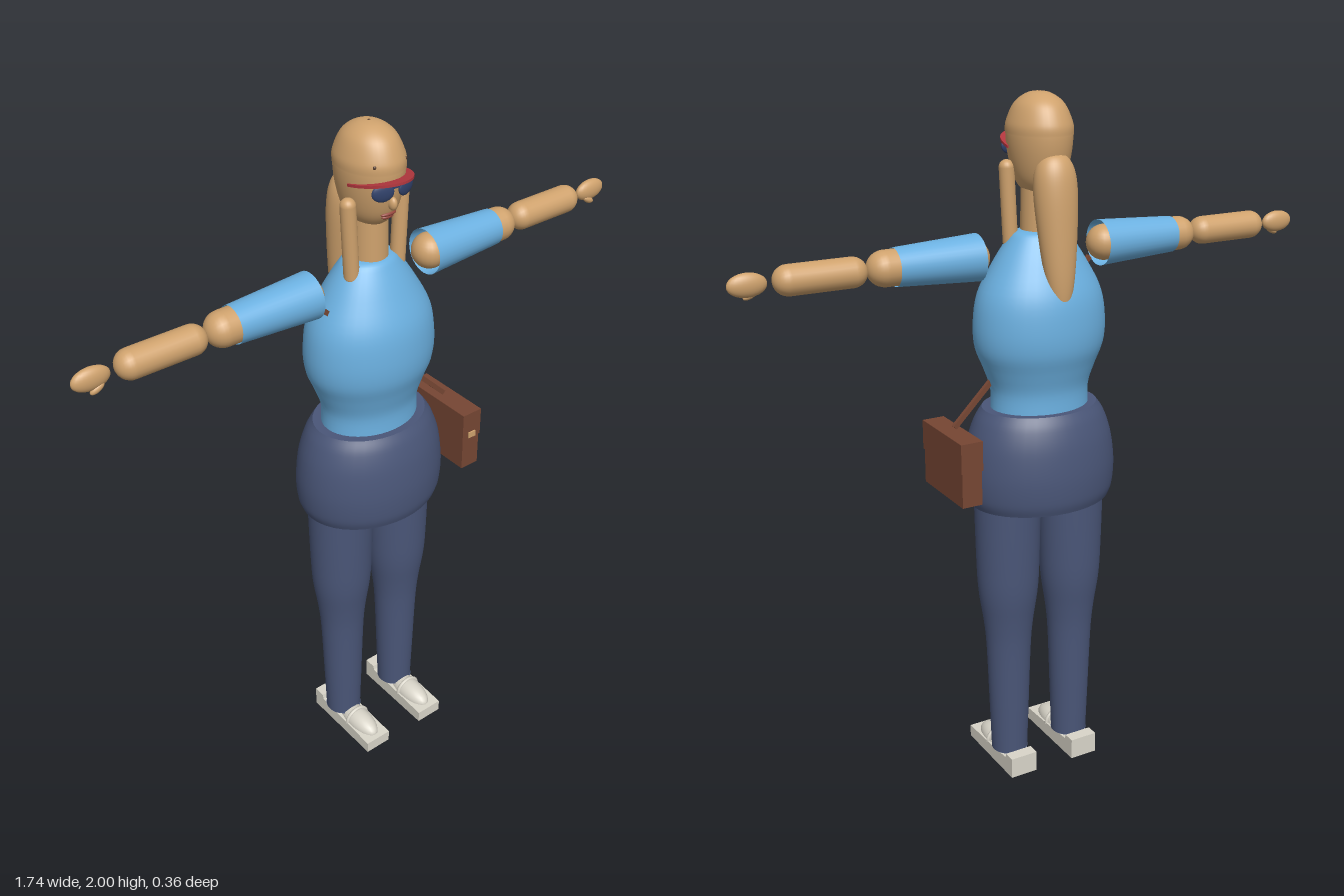
import * as THREE from 'three';

const mat = (name, color, side = THREE.FrontSide) => {
  const m = new THREE.MeshStandardMaterial({ color, side });
  m.name = name;
  return m;
};

export function createModel() {
  const skin = mat('skin', 0xcfa26d);
  const shirt = mat('shirtBlue', 0x6bb0e0, THREE.DoubleSide);
  const denim = mat('denim', 0x4a5678, THREE.DoubleSide);
  const leather = mat('leather', 0x764633);
  const white = mat('shoeWhite', 0xd9d5c9);
  const red = mat('brimRed', 0xb5383f);
  const lens = mat('lensBlue', 0x31426b);
  const lip = mat('lipRed', 0x95463c);
  const dark = mat('darkBrown', 0x5a4030);

  const model = new THREE.Group();
  const add = (name, geometry, material, x = 0, y = 0, z = 0, parent = model) => {
    const m = new THREE.Mesh(geometry, material);
    m.name = name;
    m.position.set(x, y, z);
    parent.add(m);
    return m;
  };
  // Smooth turned form through [radius, height] points
  const turned = (points, zScale = 1, steps = 28) => {
    const curve = new THREE.SplineCurve(points.map(([r, y]) => new THREE.Vector2(r, y)));
    const pts = curve.getPoints(steps);
    pts.forEach(p => { p.x = Math.max(0, p.x); });
    return new THREE.LatheGeometry(pts, 40).scale(1, 1, zScale);
  };
  const ball = (rx, ry, rz) => new THREE.SphereGeometry(1, 24, 16).scale(rx, ry, rz);
  const box = (w, h, d) => new THREE.BoxGeometry(w, h, d);
  // Round-ended bar lying along x; total length includes the ends
  const barX = (length, r) => new THREE.CapsuleGeometry(r, length - 2 * r, 8, 24).rotateZ(Math.PI / 2);

  // Torso and hips
  add('shirtBody', turned([[0.145, 1.14], [0.145, 1.2], [0.165, 1.26], [0.188, 1.32], [0.192, 1.39],
    [0.178, 1.47], [0.135, 1.55], [0.095, 1.61], [0.07, 1.635], [0.03, 1.64]], 0.79, 40), shirt);
  add('hips', turned([[0.21, 0.865], [0.222, 0.9], [0.225, 0.97], [0.214, 1.05], [0.193, 1.11], [0.17, 1.145]], 0.795), denim);
  add('waistTop', new THREE.CircleGeometry(0.17, 40).rotateX(-Math.PI / 2).scale(1, 1, 0.795), denim, 0, 1.145, 0);
  add('hipLining', new THREE.CircleGeometry(0.21, 40).rotateX(Math.PI / 2).scale(1, 1, 0.795), white, 0, 0.885, 0);

  // Head, neck and hair
  add('neck', new THREE.CylinderGeometry(0.05, 0.052, 0.22, 24), skin, 0, 1.68, 0);
  add('head', turned([[0, 1.73], [0.035, 1.737], [0.06, 1.765], [0.075, 1.81], [0.084, 1.87],
    [0.082, 1.92], [0.063, 1.965], [0.032, 1.993], [0, 2]], 1.22, 40), skin);
  add('capDome', turned([[0.086, 1.89], [0.084, 1.92], [0.064, 1.967], [0.032, 1.993], [0, 1.998]], 1.22), skin);
  add('capButton', ball(0.008, 0.004, 0.008), dark, 0, 1.996, 0);
  const hair = add('backHair', turned([[0, -0.24], [0.024, -0.2], [0.042, -0.12], [0.055, 0],
    [0.061, 0.1], [0.055, 0.16], [0.034, 0.195], [0, 0.205]], 0.85, 36), skin, 0, 1.645, -0.097);
  hair.rotation.x = 0.11;
  add('nose', ball(0.011, 0.018, 0.014), skin, 0, 1.812, 0.094);
  add('upperLip', ball(0.024, 0.006, 0.008), lip, 0, 1.779, 0.078);
  add('lowerLip', ball(0.019, 0.006, 0.008), lip, 0, 1.77, 0.074);

  // Cap brim: crescent that droops toward the sides
  const crescent = new THREE.Shape();
  crescent.absellipse(0, 0, 0.085, 0.118, 0, Math.PI, false);
  crescent.lineTo(-0.076, 0);
  crescent.absellipse(0, 0, 0.076, 0.06, Math.PI, 0, true);
  const brim = new THREE.ExtrudeGeometry(crescent, { depth: 0.007, bevelEnabled: false, curveSegments: 28 }).rotateX(Math.PI / 2);
  const bp = brim.attributes.position;
  for (let i = 0; i < bp.count; i++) bp.setY(i, bp.getY(i) + 0.2 * bp.getZ(i));
  brim.computeVertexNormals();
  add('capBrim', brim, red, 0, 1.862, 0.02);

  // Glasses bridge
  add('glassesBridge', box(0.025, 0.006, 0.006), lens, 0, 1.862, 0.107);

  // Shoe sole outline with a raised heel block, drawn along z
  const sole = new THREE.Shape();
  [[-0.092, 0], [0.18, 0], [0.18, 0.037], [0.06, 0.042], [-0.052, 0.05], [-0.055, 0.064], [-0.092, 0.064]]
    .forEach(([z, y], i) => (i ? sole.lineTo(z, y) : sole.moveTo(z, y)));
  const soleGeo = new THREE.ExtrudeGeometry(sole, { depth: 0.085, bevelEnabled: false })
    .translate(0, 0, -0.0425).rotateY(-Math.PI / 2);

  // Mirrored parts
  for (const s of [1, -1]) {
    const side = s > 0 ? 'left' : 'right';

    const leg = new THREE.Group();
    leg.name = side + 'Leg';
    leg.position.x = s * 0.105;
    model.add(leg);
    add('trouserLeg', turned([[0.055, 0.055], [0.06, 0.2], [0.067, 0.4], [0.075, 0.49],
      [0.089, 0.59], [0.094, 0.7], [0.098, 0.9]], 0.93), denim, 0, 0, 0, leg);
    add('trouserHem', new THREE.CircleGeometry(0.055, 32).rotateX(Math.PI / 2), denim, 0, 0.055, 0, leg);
    add('shoeSole', soleGeo, white, 0, 0, 0, leg);
    add('shoeUpper', ball(0.038, 0.037, 0.085), white, 0, 0.037, 0.08, leg);
    add('shoeStrap', new THREE.TorusGeometry(0.038, 0.006, 8, 24, Math.PI), white, 0, 0.037, 0.07, leg);

    const arm = new THREE.Group();
    arm.name = side + 'Arm';
    arm.position.y = 1.58;
    model.add(arm);
    add('shoulder', ball(0.05, 0.05, 0.05), skin, s * 0.207, 0, 0, arm);
    add('sleeve', new THREE.CylinderGeometry(s > 0 ? 0.064 : 0.051, s > 0 ? 0.051 : 0.064, 0.24, 32, 1, true)
      .rotateZ(Math.PI / 2), shirt, s * 0.31, 0, 0, arm);
    add('upperArm', barX(0.32, 0.048), skin, s * 0.345, 0, 0, arm);
    add('forearm', barX(0.25, 0.04), skin, s * 0.63, 0, 0, arm);
    add('hand', ball(0.052, 0.031, 0.019), skin, s * 0.82, 0, 0, arm);
    const thumb = add('thumb', ball(0.022, 0.01, 0.01), skin, s * 0.81, -0.026, 0.008, arm);
    thumb.rotation.z = -s * 0.5;

    const lock = add(side + 'HairLock', new THREE.CapsuleGeometry(0.021, 0.2, 8, 20), skin, s * 0.081, 1.705, 0.024);
    lock.rotation.z = -s * 0.05;
    const glass = add(side + 'Lens', ball(0.03, 0.024, 0.008), lens, s * 0.036, 1.852, 0.1);
    glass.rotation.y = s * 0.3;
    add(side + 'CapEyelet', ball(0.005, 0.005, 0.004), dark, s * 0.048, 1.915, 0.083);
  }

  // Shoulder bag with clasp and cross-body strap
  const bag = new THREE.Group();
  bag.name = 'bag';
  model.add(bag);
  add('bagBody', box(0.06, 0.185, 0.235), leather, 0.266, 1.0075, 0.02, bag);
  add('bagFlap', box(0.066, 0.085, 0.24), leather, 0.266, 1.058, 0.02, bag);
  add('bagClasp', box(0.026, 0.018, 0.006), skin, 0.266, 1.027, 0.141, bag);
  const strap = add('bagStrap', box(0.61, 0.014, 0.012), leather, 0.045, 1.325, 0.016, bag);
  strap.rotation.z = -Math.PI / 4;

  return model;
}
